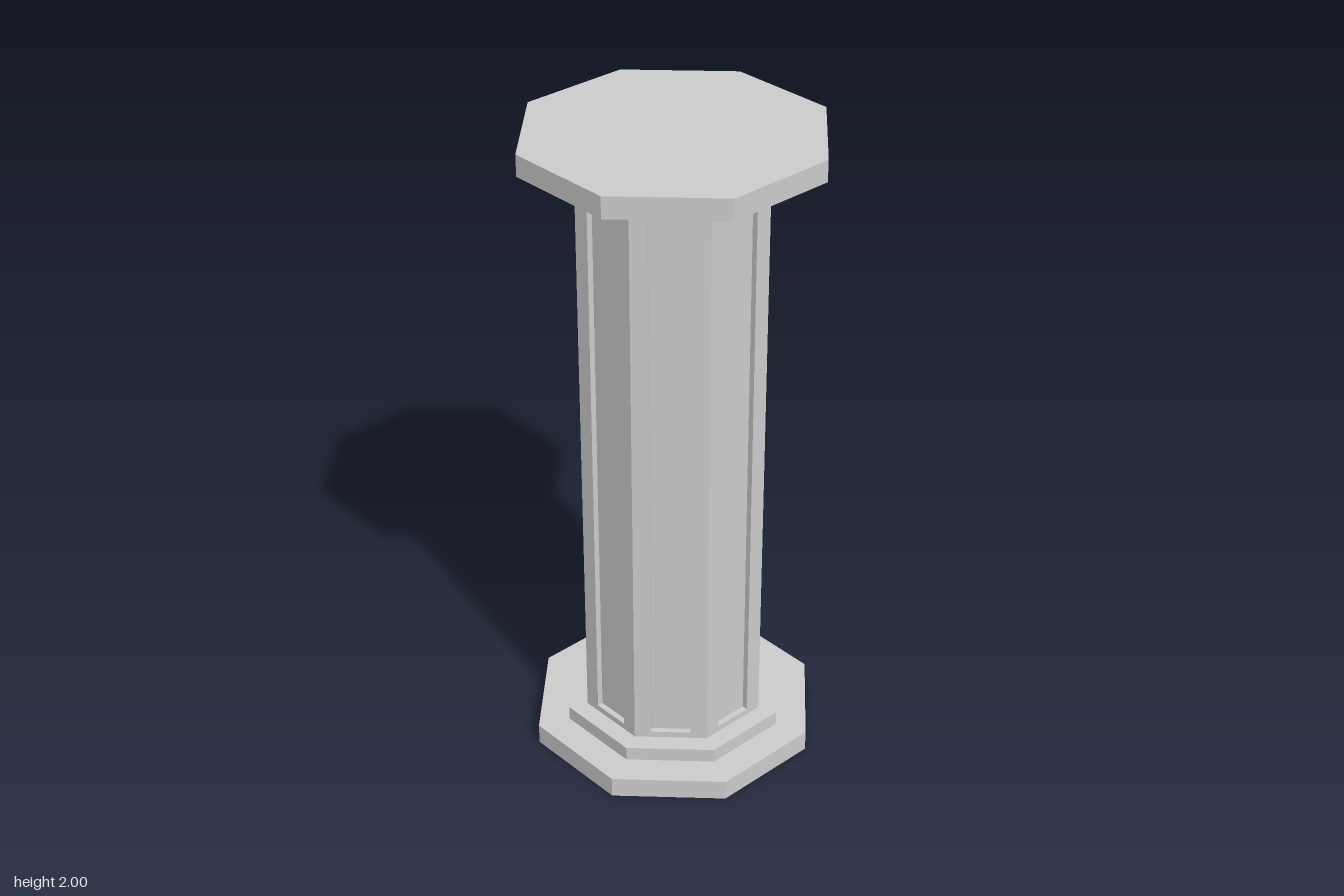
import * as THREE from 'three';

const SIDES = 8;
const SHAFT_RADIUS = 0.287, SHAFT_BOTTOM = 0.11, SHAFT_TOP = 1.89;
const RECESS = 0.018;

export function createModel() {
  const material = new THREE.MeshStandardMaterial({ color: 0xcccccc, flatShading: true });
  const column = new THREE.Group();
  column.name = 'column';

  // Octagonal slab with corners on the x and z axes
  function addSlab(name, radius, bottom, top, open = false) {
    const geometry = new THREE.CylinderGeometry(radius, radius, top - bottom, SIDES, 1, open);
    const mesh = new THREE.Mesh(geometry, material);
    mesh.position.y = (bottom + top) / 2;
    mesh.name = name;
    column.add(mesh);
  }

  // Base and capital are mirror images
  addSlab('basePlinth', 0.447, 0, 0.065);
  addSlab('baseStep', 0.347, 0.065, SHAFT_BOTTOM);
  addSlab('capitalStep', 0.347, SHAFT_TOP, 1.935);
  addSlab('capitalSlab', 0.447, 1.935, 2);

  // Inner core forms the floors of the recessed panels
  const cosHalf = Math.cos(Math.PI / SIDES);
  const apothem = SHAFT_RADIUS * cosHalf;
  addSlab('shaftCore', (apothem - RECESS) / cosHalf, SHAFT_BOTTOM, SHAFT_TOP, true);

  // One face of the shaft: a frame around a tall recessed panel
  const rectangle = (path, halfWidth, bottom, top) => {
    path.moveTo(-halfWidth, bottom);
    path.lineTo(halfWidth, bottom);
    path.lineTo(halfWidth, top);
    path.lineTo(-halfWidth, top);
    path.closePath();
    return path;
  };
  const halfFace = SHAFT_RADIUS * Math.sin(Math.PI / SIDES);
  const frame = rectangle(new THREE.Shape(), halfFace, SHAFT_BOTTOM, SHAFT_TOP);
  frame.holes.push(rectangle(new THREE.Path(), 0.06, 0.13, 1.87));
  const frameGeometry = new THREE.ExtrudeGeometry(frame, { depth: RECESS, bevelEnabled: false });
  frameGeometry.translate(0, 0, apothem - RECESS);

  const frames = new THREE.Group();
  frames.name = 'shaftPanelFrames';
  for (let i = 0; i < SIDES; i++) {
    const mesh = new THREE.Mesh(frameGeometry, material);
    mesh.rotation.y = ((i + 0.5) / SIDES) * Math.PI * 2;
    mesh.name = `panelFrame${i + 1}`;
    frames.add(mesh);
  }
  column.add(frames);

  return column;
}
